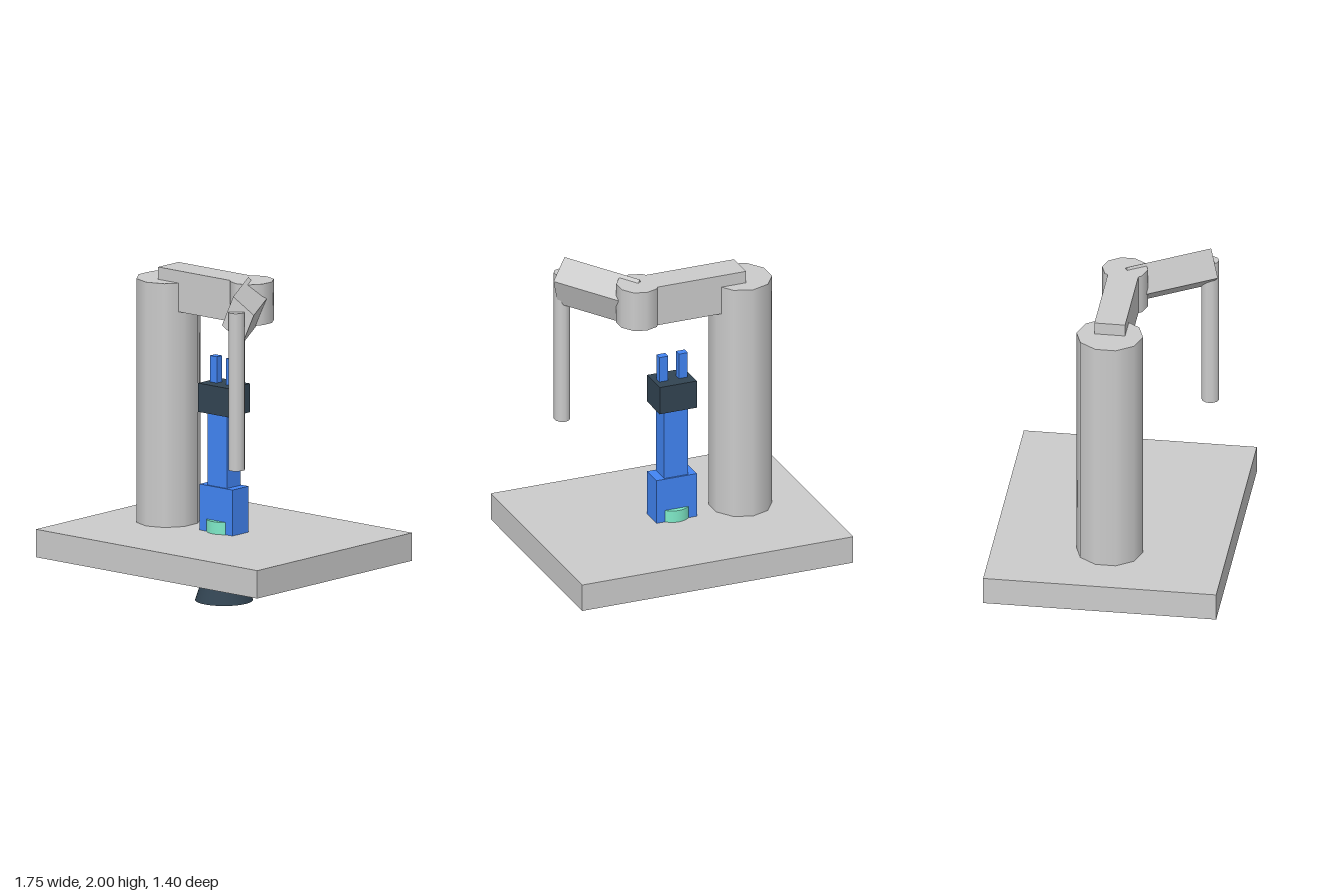
import * as THREE from 'three';

const material = (color) => new THREE.MeshStandardMaterial({ color });

export function createModel() {
  const model = new THREE.Group();
  const grey = material(0xcccccc);
  const blue = material(0x4285f4);
  const dark = material(0x324452);
  const green = material(0x7feac8);

  const add = (name, geometry, mat, parent = model) => {
    const mesh = new THREE.Mesh(geometry, mat);
    mesh.name = name;
    parent.add(mesh);
    return mesh;
  };

  // Box between x0..x1 and y0..y1, with depth centred on z = 0
  const box = (name, x0, x1, y0, y1, depth, mat, parent) =>
    add(name, new THREE.BoxGeometry(x1 - x0, y1 - y0, depth)
      .translate((x0 + x1) / 2, (y0 + y1) / 2, 0), mat, parent);

  // Ten-sided upright post, slightly narrower in x
  const post = (name, x, z, rx, rz, y0, y1) =>
    add(name, new THREE.CylinderGeometry(1, 1, y1 - y0, 10)
      .scale(rx, 1, rz).translate(x, (y0 + y1) / 2, z), grey);

  // Base plate, column and upper arm
  box('basePlate', -0.875, 0.875, 0.25, 0.42, 1.4, grey);
  post('column', -0.44, 0, 0.189, 0.2, 0.4, 1.905);
  box('upperArm', -0.44, 0.2, 1.73, 1.98, 0.184, grey);
  post('elbowHub', 0.22, 0, 0.129, 0.138, 1.73, 1.98);

  // Tilted forearm: a skewed bar swept from the hub to its end section
  const end = [[0.492, 1.997, 0.479], [0.593, 1.886, 0.408],
    [0.545, 1.712, 0.457], [0.444, 1.823, 0.526]];
  const start = end.map(([x, y, z]) => [x - 0.29, y, z - 0.467]);
  const positions = [];
  const quad = (a, b, c, d) => [a, b, c, a, c, d].forEach((p) => positions.push(...p));
  for (let i = 0; i < 4; i++) {
    const j = (i + 1) % 4;
    quad(end[i], start[i], start[j], end[j]);
  }
  quad(end[3], end[2], end[1], end[0]);
  quad(...start);
  // Corners run clockwise seen from the front, so the winding is flipped
  for (let i = 0; i < positions.length; i += 9) {
    for (let k = 0; k < 3; k++) {
      const t = positions[i + 3 + k];
      positions[i + 3 + k] = positions[i + 6 + k];
      positions[i + 6 + k] = t;
    }
  }
  const bar = new THREE.BufferGeometry();
  bar.setAttribute('position', new THREE.Float32BufferAttribute(positions, 3));
  // Orient every face away from the bar's middle
  const p = bar.attributes.position;
  const mid = new THREE.Vector3(0.3735, 1.8545, 0.234);
  const [a, b, c] = [0, 1, 2].map(() => new THREE.Vector3());
  for (let i = 0; i < p.count; i += 3) {
    [a, b, c].forEach((v, k) => v.fromBufferAttribute(p, i + k));
    const normal = b.clone().sub(a).cross(c.clone().sub(a));
    if (normal.dot(a.clone().sub(mid)) < 0) {
      p.setXYZ(i + 1, c.x, c.y, c.z);
      p.setXYZ(i + 2, b.x, b.y, b.z);
    }
  }
  bar.computeVertexNormals();
  add('forearm', bar, grey);

  // Rod hanging from the end of the forearm
  post('hangingRod', 0.512, 0.471, 0.0485, 0.053, 0.945, 1.905);

  // Central tool: nozzle, collar, body, shaft, head and two prongs
  const tool = new THREE.Group();
  tool.name = 'centralTool';
  model.add(tool);
  add('nozzle', new THREE.CylinderGeometry(0.105, 0.173, 0.2, 32)
    .translate(0, 0.101, 0), dark, tool);
  add('collar', new THREE.CylinderGeometry(0.105, 0.105, 0.495, 32)
    .translate(0, 0.2475, 0), green, tool);
  box('toolBody', -0.13, 0.13, 0.202, 0.7, 0.145, blue, tool);
  box('toolShaft', -0.077, 0.077, 0.69, 1.15, 0.124, blue, tool);
  box('toolHead', -0.12, 0.12, 1.145, 1.32, 0.194, dark, tool);
  for (const side of [-1, 1]) {
    const prong = box(side < 0 ? 'rightProng' : 'leftProng',
      -0.028, 0.028, 1.31, 1.48, 0.048, blue, tool);
    prong.position.x = side * 0.063;
  }

  return model;
}
